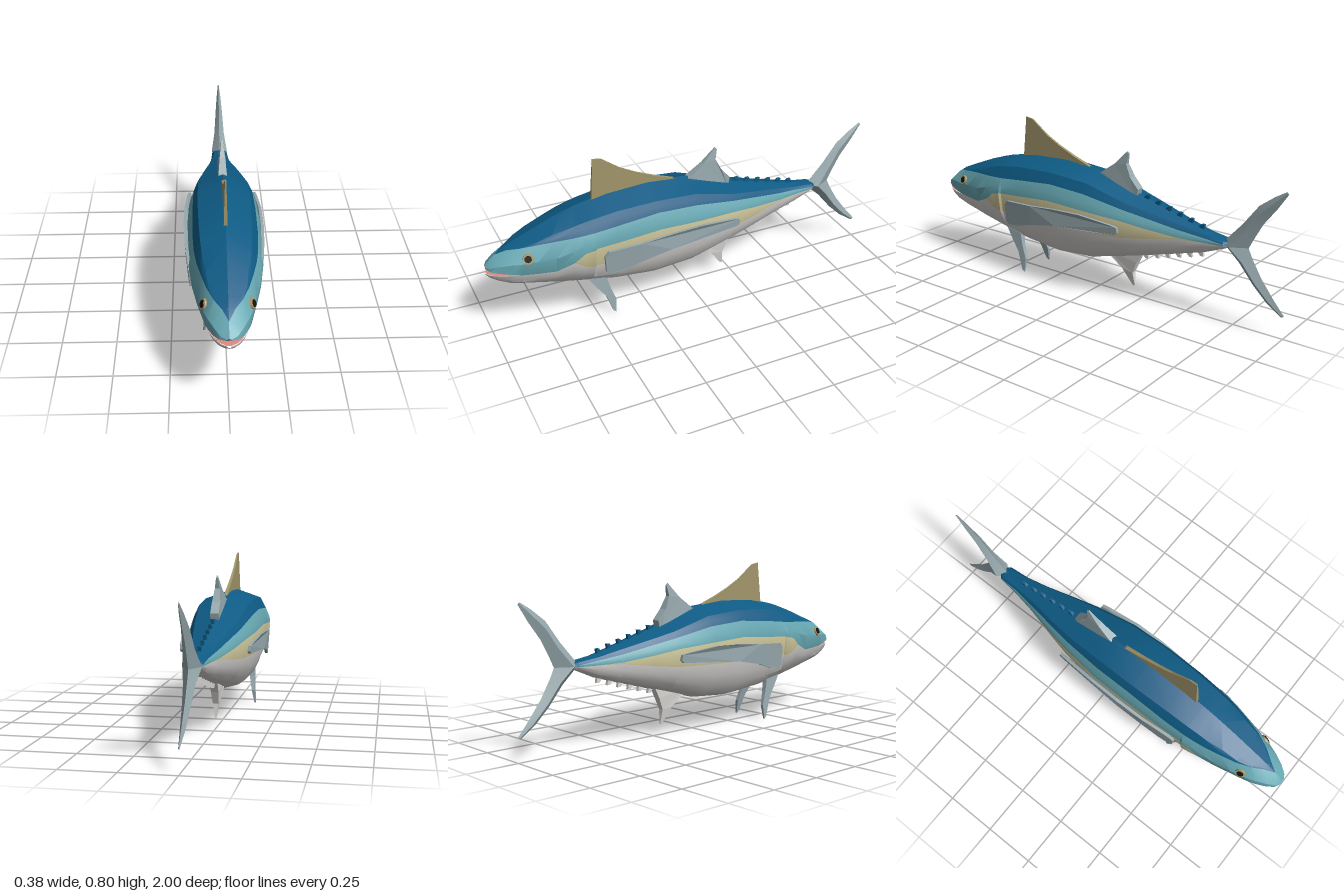
import * as THREE from 'three';
import { toCreasedNormals } from 'three/addons/utils/BufferGeometryUtils.js';

const mat = (name, color, side = THREE.FrontSide) => {
  const m = new THREE.MeshStandardMaterial({ color, side });
  m.name = name;
  return m;
};

// Body stations: z, half width, top, back colour edge, upper lip / stripe top, lower lip / stripe bottom, belly
const STATIONS = [
  [1.0, .012, .372, .372, .362, .334, .326],
  [.985, .04, .39, .39, .358, .336, .312],
  [.95, .064, .42, .42, .354, .336, .29],
  [.9, .087, .452, .445, .347, .336, .267],
  [.85, .102, .474, .458, .338, .338, .254],
  [.78, .119, .503, .473, .335, .335, .24],
  [.7, .135, .535, .483, .335, .335, .222],
  [.62, .146, .562, .488, .37, .37, .205],
  [.57, .151, .577, .492, .41, .335, .194],
  [.522, .156, .588, .496, .42, .325, .184],
  [.512, .157, .59, .497, .422, .325, .182],
  [.4, .164, .61, .51, .432, .33, .16],
  [.2, .17, .62, .527, .45, .33, .14],
  [0, .164, .603, .515, .44, .335, .155],
  [-.2, .14, .532, .475, .425, .34, .21],
  [-.33, .11, .497, .45, .405, .355, .245],
  [-.48, .072, .457, .42, .385, .378, .287],
  [-.6, .05, .425, .403, .382, .382, .322],
  [-.7, .04, .407, .392, .384, .384, .365],
  [-.74, .006, .395, .39, .385, .385, .38],
];

// Half cross-section: height fraction -> width fraction
const SECTION = [[1, 0], [.91, .72], [.78, .89], [.65, 1], [.52, 1], [.38, .95], [.15, .73], [.05, .47], [0, 0]];
function widthAt(f) {
  for (let i = 0; i < SECTION.length - 1; i++) {
    const [f0, w0] = SECTION[i], [f1, w1] = SECTION[i + 1];
    if (f >= f1) return w0 + (w1 - w0) * (f0 - f) / (f0 - f1);
  }
  return 0;
}

// Surface x for a station at height y, with the gill cover standing slightly proud
function surfaceX([z, w, top, , , , bottom], y) {
  const f = THREE.MathUtils.clamp((y - bottom) / (top - bottom), 0, 1);
  const ramp = z > .515 && z < .75 ? (.75 - z) / .23 : 0;
  const bulge = f > .1 && f < .78 ? Math.sin((f - .1) / .68 * Math.PI) : 0;
  return w * widthAt(f) + .011 * ramp * bulge;
}

function stationAt(z) {
  const i = STATIONS.findIndex((s, k) => k > 0 && s[0] <= z);
  const a = STATIONS[i - 1], b = STATIONS[i], t = (a[0] - z) / (a[0] - b[0]);
  return a.map((v, k) => v + (b[k] - v) * t);
}

function bodyGeometry() {
  const ROWS = 11, pos = [], index = [];
  for (const side of [1, -1]) {
    for (const s of STATIONS) {
      const [z, , top, back, up, low, bottom] = s, h = top - bottom;
      const ridge = Math.max(bottom + .91 * h, (top + back) / 2);
      const chine = bottom + .15 * h;
      const ys = [top, ridge, (ridge + back) / 2, back, (back + up) / 2, up, low,
        (low + chine) / 2, chine, bottom + .05 * h, bottom];
      for (const y of ys) pos.push(side * surfaceX(s, y), y, z);
    }
  }
  const g = new THREE.BufferGeometry();
  // back, flank, stripe, belly
  [[0, 3], [3, 5], [5, 6], [6, 10]].forEach(([r0, r1], m) => {
    const start = index.length;
    for (let side = 0; side < 2; side++) {
      for (let i = 0; i < STATIONS.length - 1; i++) {
        if (m === 2 && STATIONS[i][0] > .7) continue; // open mouth
        for (let r = r0; r < r1; r++) {
          const a = (side * STATIONS.length + i) * ROWS + r, b = a + 1, c = a + ROWS, d = c + 1;
          if (side === 0) index.push(a, b, c, b, d, c);
          else index.push(a, c, b, b, c, d);
        }
      }
    }
    g.addGroup(start, index.length - start, m);
  });
  g.setAttribute('position', new THREE.Float32BufferAttribute(pos, 3));
  g.setIndex(index);
  return toCreasedNormals(g, .45);
}

// Flat fin from a [z, y] outline; shape(z, y) returns [centre x, half thickness]
function finGeometry(outline, shape) {
  const s = new THREE.Shape(outline.map(([z, y]) => new THREE.Vector2(-z, y)));
  const g = new THREE.ExtrudeGeometry(s, { depth: 1, bevelEnabled: false });
  g.translate(0, 0, -.5).rotateY(Math.PI / 2);
  const p = g.attributes.position;
  for (let i = 0; i < p.count; i++) {
    const [c, h] = shape(p.getZ(i), p.getY(i));
    p.setX(i, c + Math.sign(p.getX(i)) * h);
  }
  g.computeVertexNormals();
  return g;
}

// Crescent tail: diamond sections from the upper tip to the lower tip
function tailGeometry() {
  // leading z, y, trailing z, y, half thickness
  const S = [[-.975, .682, -.985, .672, .003], [-.92, .648, -.935, .595, .011], [-.85, .595, -.875, .515, .018],
    [-.775, .495, -.83, .43, .026], [-.68, .388, -.81, .388, .042], [-.765, .31, -.83, .345, .026],
    [-.84, .22, -.88, .26, .018], [-.91, .153, -.945, .175, .011], [-.985, .102, -1, .11, .003]];
  const pos = [], index = [];
  for (const [lz, ly, tz, ty, h] of S) {
    const mz = lz + (tz - lz) * .4, my = ly + (ty - ly) * .4;
    pos.push(0, ly, lz, h, my, mz, 0, ty, tz, -h, my, mz);
  }
  for (let i = 0; i < S.length - 1; i++) for (let k = 0; k < 4; k++) {
    const a = i * 4 + k, b = i * 4 + (k + 1) % 4;
    index.push(a, a + 4, b, b, a + 4, b + 4);
  }
  const e = (S.length - 1) * 4;
  index.push(0, 1, 2, 0, 2, 3, e, e + 2, e + 1, e, e + 3, e + 2);
  const g = new THREE.BufferGeometry();
  g.setAttribute('position', new THREE.Float32BufferAttribute(pos, 3));
  g.setIndex(index);
  return toCreasedNormals(g, .3);
}

// Horizontal sheet across the jaw at one lip height
function jawGeometry(col, lift) {
  const pts = STATIONS.slice(0, 5), pos = [], index = [];
  pts.forEach((s, i) => {
    const x = surfaceX(s, s[col]) * .98;
    pos.push(x, s[col] + lift, s[0] - .003, -x, s[col] + lift, s[0] - .003);
    if (i) index.push(2 * i - 2, 2 * i - 1, 2 * i, 2 * i - 1, 2 * i + 1, 2 * i);
  });
  const g = new THREE.BufferGeometry();
  g.setAttribute('position', new THREE.Float32BufferAttribute(pos, 3));
  g.setIndex(index);
  g.computeVertexNormals();
  return g;
}

export function createModel() {
  const blue = mat('deepBlue', 0x0e5b85), teal = mat('tealFlank', 0x68a9b4), cream = mat('creamStripe', 0xcfc79a);
  const white = mat('bellyWhite', 0xd8d6d3), grey = mat('finGrey', 0x97a9ae), khaki = mat('dorsalKhaki', 0xa0956a);
  const pink = mat('mouthPink', 0xe08a80, THREE.DoubleSide), dark = mat('palateBrown', 0x6a3f3c, THREE.DoubleSide);
  const black = mat('pupilBlack', 0x15130f), gold = mat('eyeGold', 0xb09a68);
  const fish = new THREE.Group();
  fish.name = 'fish';
  const add = (name, geo, m) => {
    const mesh = new THREE.Mesh(geo, m);
    mesh.name = name;
    fish.add(mesh);
    return mesh;
  };

  add('body', bodyGeometry(), [blue, teal, cream, white]);
  add('tongue', jawGeometry(5, .001), pink);
  add('palate', jawGeometry(4, -.001), dark);
  add('tailFin', tailGeometry(), grey);

  // Fins on the centre line
  add('frontDorsalFin', finGeometry(
    [[.48, .58], [.462, .795], [.42, .788], [.33, .722], [.25, .68], [.16, .642], [.06, .606], [.06, .57]],
    (z, y) => [0, .009 - .006 * Math.max(0, (y - .6) / .2)]), khaki);
  add('rearDorsalFin', finGeometry(
    [[.02, .58], [-.02, .6], [-.09, .652], [-.155, .72], [-.165, .71], [-.155, .66], [-.185, .6], [-.23, .55], [-.22, .5]],
    (z, y) => [0, .003 + .017 * Math.max(0, Math.min(1, (.72 - y) / .12))]), grey);
  add('analFin', finGeometry(
    [[-.05, .21], [-.08, .175], [-.14, .13], [-.195, .05], [-.207, .05], [-.2, .12], [-.225, .18], [-.25, .23]],
    (z, y) => [0, .002 + .016 * Math.min(1, (y - .05) / .1)]), white);

  // Finlets along the rear back and belly
  for (let i = 0; i < 6; i++) {
    const z = -.25 - i * .06, s = stationAt(z), s2 = stationAt(z - .035);
    add('upperFinlet', finGeometry([[z, s[2] - .01], [z - .02, s[2] + .012], [z - .036, s[2] + .012], [z - .03, s2[2] - .01]],
      () => [0, .007]), blue);
    add('lowerFinlet', finGeometry([[z, s[6] + .01], [z - .03, s2[6] + .01], [z - .036, s[6] - .012], [z - .02, s[6] - .012]].reverse(),
      () => [0, .007]), white);
  }

  // Paired fins and eyes
  for (const side of [1, -1]) {
    const tag = side > 0 ? 'left' : 'right';
    add(tag + 'PectoralFin', finGeometry(
      [[.48, .37], [.475, .285], [.455, .27], [.4, .272], [.3, .305], [.15, .335], [-.05, .35], [-.2, .363],
        [-.215, .375], [-.21, .4], [-.17, .408], [0, .425], [.15, .42], [.3, .405], [.46, .395]],
      (z, y) => [side * (.161 + .02 * (1 - ((z - .13) / .35) ** 2) - .07 * (.4 - y)), .007]), grey);
    add(tag + 'PelvicFin', finGeometry(
      [[.54, .215], [.5, .155], [.46, .1], [.43, .012], [.415, 0], [.41, .07], [.435, .14], [.45, .2]],
      (z, y) => [side * (.1 - .025 * y / .17), .004 + .009 * y / .17]), grey);

    // Eye laid against the slope of the head
    const ez = .822, ey = .42, at = (z, y) => surfaceX(stationAt(z), y), e = .015;
    const n = new THREE.Vector3(1, -(at(ez, ey + e) - at(ez, ey - e)) / (2 * e),
      -(at(ez + e, ey) - at(ez - e, ey)) / (2 * e)).normalize();
    n.x *= side;
    const centre = new THREE.Vector3(side * at(ez, ey), ey, ez);
    [['Iris', .025, gold, .001], ['Pupil', .017, black, .004]].forEach(([part, r, m, out]) => {
      const eye = add(tag + part, new THREE.CylinderGeometry(r * .95, r, .009, 16), m);
      eye.quaternion.setFromUnitVectors(new THREE.Vector3(0, 1, 0), n);
      eye.position.copy(centre).addScaledVector(n, out);
    });
  }
  return fish;
}
